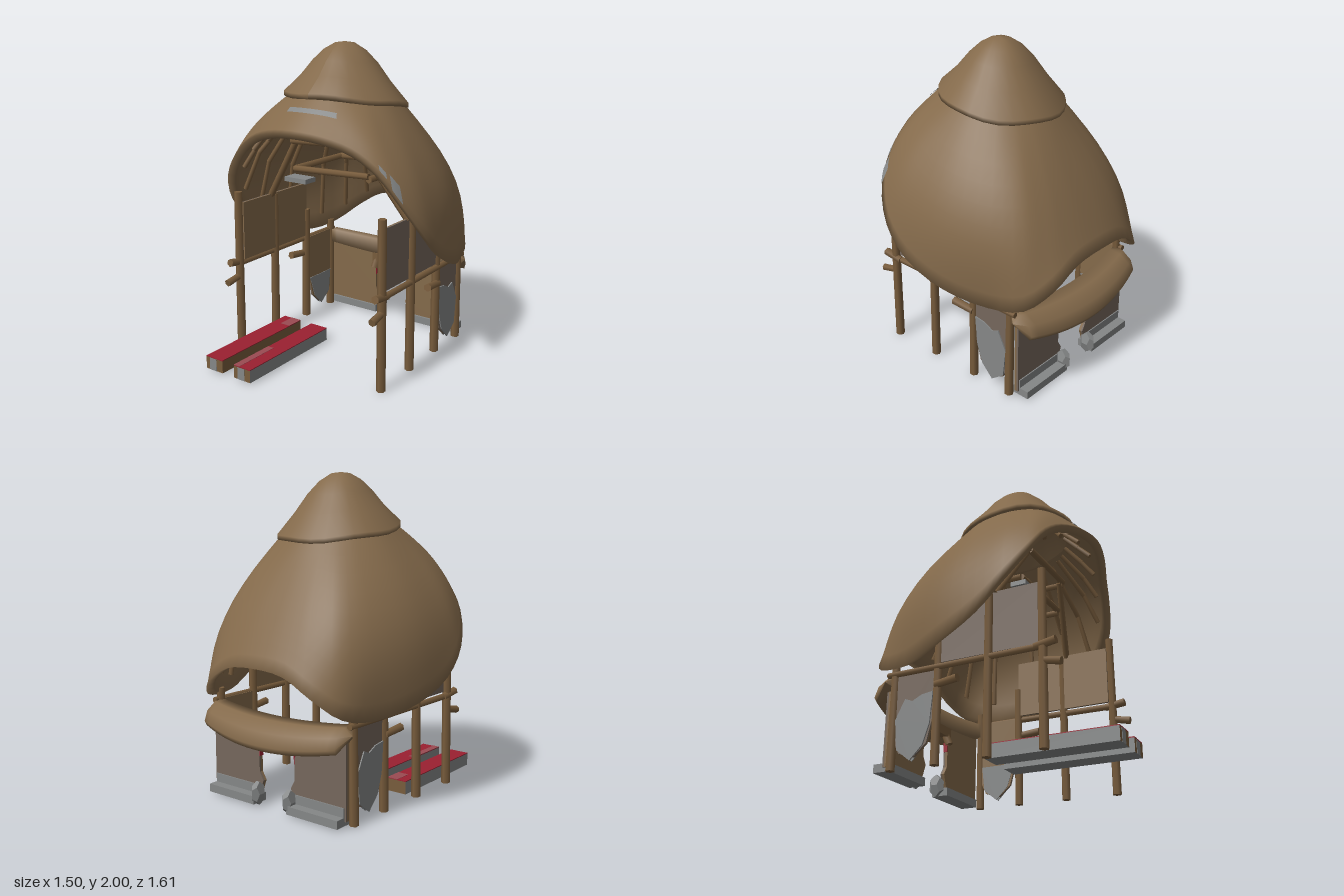
import * as THREE from 'three';

const V = (x, y, z) => new THREE.Vector3(x, y, z);
const mat = (name, color) => {
  const m = new THREE.MeshStandardMaterial({ color, side: THREE.DoubleSide });
  m.name = name;
  return m;
};

// Surface from a rule fn(u, t), u running around (optionally closed), t running down
function grid(fn, nu, nt, closed) {
  const pos = [], idx = [], cols = closed ? nu : nu + 1;
  for (let i = 0; i <= nt; i++)
    for (let j = 0; j < cols; j++) pos.push(...fn(j / nu, i / nt).toArray());
  for (let i = 0; i < nt; i++)
    for (let j = 0; j < nu; j++) {
      const k = (j + 1) % cols, a = i * cols + j, c = i * cols + k;
      idx.push(a, a + cols, c, a + cols, c + cols, c);
    }
  const g = new THREE.BufferGeometry();
  g.setAttribute('position', new THREE.Float32BufferAttribute(pos, 3));
  g.setIndex(idx);
  g.computeVertexNormals();
  return g;
}

// Half of the roof rim from front to back: x, y, z, bulge of the slope above it
const RIM = [
  [0, 1.505, 0.555, 0], [0.2, 1.485, 0.525, 0], [0.38, 1.425, 0.47, 0.02], [0.53, 1.315, 0.43, 0.04],
  [0.65, 1.155, 0.38, 0.055], [0.735, 0.95, 0.255, 0.085], [0.745, 0.78, 0.08, 0.105], [0.7, 0.66, -0.18, 0.13],
  [0.6, 0.6, -0.45, 0.15], [0.53, 0.635, -0.66, 0.12], [0.4, 0.75, -0.77, 0.06], [0.22, 0.855, -0.795, 0.03],
  [0, 0.88, -0.805, 0.02],
];
const stations = [...RIM, ...RIM.slice(1, -1).reverse().map(([x, y, z, b]) => [-x, y, z, b])];
const loop = (pts) => new THREE.CatmullRomCurve3(pts, true);
const rimCurve = loop(stations.map(([x, y, z]) => V(x, y, z)));
const ringCurve = loop(stations.map(([x, , z]) => {
  const a = Math.atan2(x, z + 0.02);
  return V(0.355 * Math.sin(a), 1.645 + 0.055 * Math.cos(a), 0.365 * Math.cos(a) - 0.02);
}));
const bulgeCurve = loop(stations.map((s, i) => V(s[3], i * 1e-4, 0)));

function roofPoint(u, t) {
  const p = ringCurve.getPoint(u % 1).lerp(rimCurve.getPoint(u % 1), t);
  const out = V(p.x, 0, p.z).normalize();
  return p.addScaledVector(out, bulgeCurve.getPoint(u % 1).x * Math.sin(Math.PI * t));
}
const CORE = V(0, 0.95, -0.1);
const innerPoint = (u, t, k = 0.94) => roofPoint(u, t).sub(CORE).multiplyScalar(k).add(CORE);

export function createModel() {
  const root = new THREE.Group();
  root.name = 'thatchedHut';
  const thatch = mat('thatch brown', 0x846a4b);
  const wood = mat('wood brown', 0x785c3c);
  const clay = mat('taupe clay', 0x75675c);
  const stone = mat('stone grey', 0x858787);
  const red = mat('bench red', 0x9a2031);
  const faded = mat('faded red', 0x9a4a52);

  const add = (name, geo, m, x = 0, y = 0, z = 0) => {
    const mesh = new THREE.Mesh(geo, m);
    mesh.name = name;
    mesh.position.set(x, y, z);
    root.add(mesh);
    return mesh;
  };
  const box = (name, m, x0, x1, y0, y1, z0, z1) =>
    add(name, new THREE.BoxGeometry(x1 - x0, y1 - y0, z1 - z0), m, (x0 + x1) / 2, (y0 + y1) / 2, (z0 + z1) / 2);
  // Pole between two points
  const pole = (name, a, b, r, sides = 6) => {
    const d = b.clone().sub(a);
    const mesh = add(name, new THREE.CylinderGeometry(r, r * 1.1, d.length(), sides), wood);
    mesh.position.copy(a).addScaledVector(d, 0.5);
    mesh.quaternion.setFromUnitVectors(V(0, 1, 0), d.normalize());
  };
  const slab = (pts, depth) =>
    new THREE.ExtrudeGeometry(new THREE.Shape(pts.map(([x, y]) => new THREE.Vector2(x, y))), { depth, bevelEnabled: false });

  // Roof shell: outer slope, lip, inner slope
  add('roof', grid((u, t) => (t <= 0.5 ? roofPoint(u, t / 0.5) : innerPoint(u, 1 - (t - 0.55) / 0.45)), 72, 20, true), thatch);

  // Roof cap, tilted down towards the back with an uneven lower edge
  const capProfile = [[0.33, 1.61], [0.385, 1.632], [0.385, 1.66], [0.28, 1.775], [0.2, 1.88], [0.13, 1.95], [0.06, 1.992], [0, 2]];
  const cap = new THREE.LatheGeometry(capProfile.map(([r, y]) => new THREE.Vector2(r, y)), 28);
  const cp = cap.attributes.position;
  for (let i = 0; i < cp.count; i++) {
    const x = cp.getX(i), z = cp.getZ(i), r = Math.hypot(x, z);
    const wave = 0.006 * Math.sin(5 * Math.atan2(x, z));
    cp.setY(i, cp.getY(i) + (0.15 * z + wave) * Math.min(1, r / 0.38));
    cp.setZ(i, z - 0.015 * r / 0.38);
  }
  cap.computeVertexNormals();
  add('roofCap', cap, thatch);

  // Grey weathered patches on the roof
  const patch = (u0, u1, t0, t1) => add('roofPatch', grid((u, t) => {
    const p = roofPoint(u0 + (u1 - u0) * u + 1, t0 + (t1 - t0) * t);
    return p.addScaledVector(V(p.x, 0.4, p.z + 0.02).normalize(), 0.006);
  }, 8, 2, false), stone);
  patch(-0.03, 0.06, 0.32, 0.44);
  patch(0.15, 0.17, 0.8, 0.98);
  patch(0.128, 0.142, 0.84, 0.92);

  // Rafters under the roof
  for (let i = 0; i < 22; i++) {
    const u = (i + 0.5) / 22;
    pole('rafter', innerPoint(u, 0.9, 0.9), innerPoint(u, 0.5, 0.9), 0.015, 5);
    pole('rafter', innerPoint(u, 0.5, 0.9), innerPoint(u, 0.02, 0.9), 0.015, 5);
  }
  // Square frames tying the rafters together
  for (const [y, w, zf, zb] of [[1.2, 0.28, 0.15, -0.35], [1.39, 0.26, 0.2, -0.28]]) {
    for (const z of [zf, zb]) pole('crossBeam', V(-w, y, z), V(w, y + 0.02, z), 0.02);
    for (const s of [-1, 1]) pole('sideBeam', V(s * w, y, zf), V(s * w, y, zb), 0.02);
  }
  box('beamPatch', stone, -0.33, -0.16, 1.12, 1.15, 0.1, 0.2);

  for (const s of [-1, 1]) {
    // Diagonal brace from the post to the upper frame
    pole('brace', V(s * 0.53, 0.98, 0.1), V(s * 0.24, 1.4, 0.18), 0.02);
    // Posts
    for (const [x, z, h] of [[0.55, 0.41, 1.06], [0.54, 0.07, 0.98], [0.53, -0.26, 0.8], [0.53, -0.55, 0.66]])
      pole('post', V(s * x, 0.005, z), V(s * (x - 0.005), h, z - 0.005), 0.026);
    // Rails and short log ends
    pole('sideRail', V(s * 0.545, 0.585, 0.4), V(s * 0.535, 0.585, -0.6), 0.019);
    pole('railEnd', V(s * 0.555, 0.605, 0.49), V(s * 0.55, 0.585, 0.36), 0.024);
    pole('logEnd', V(s * 0.555, 0.475, 0.52), V(s * 0.55, 0.5, 0.4), 0.022);
    pole('logEnd', V(s * 0.55, 0.49, -0.12), V(s * 0.54, 0.475, -0.27), 0.024);
    // Upper side panel, clay outside and thatch inside
    box('sidePanelOuter', clay, s * 0.53 - 0.005, s * 0.53 + 0.005, 0.61, 0.99, -0.26, 0.39);
    box('sidePanelInner', thatch, s * 0.521 - 0.004, s * 0.521 + 0.004, 0.61, 0.99, -0.26, 0.39);
    // Lower side wall with ragged plaster on both faces, shapes drawn in (-z, y)
    const sideSlab = (name, pts, depth, m, x) => {
      add(name, slab(pts, depth), m, s * x - depth / 2).rotation.y = Math.PI / 2;
    };
    const ragged = [[0.28, 0.59], [0.28, 0.3], [0.32, 0.14], [0.4, 0.07], [0.5, 0.1], [0.55, 0.2], [0.55, 0.59]];
    const plaster = [[0.285, 0.44], [0.36, 0.43], [0.42, 0.4], [0.47, 0.42], [0.53, 0.3], [0.51, 0.12], [0.42, 0.05], [0.34, 0.13], [0.3, 0.25]];
    sideSlab('lowerSideWall', ragged, 0.01, clay, 0.528);
    sideSlab('lowerSideWallInner', ragged, 0.008, thatch, 0.519);
    sideSlab('sidePlaster', plaster, 0.008, stone, 0.537);
    sideSlab('sidePlasterInner', plaster.map(([z, y]) => [z, Math.min(y, 0.28)]), 0.004, stone, 0.513);
    // Back wall beside the doorway
    const wall = [[0.15, 0.04], [0.11, 0.15], [0.14, 0.2], [0.14, 0.34], [0.17, 0.38], [0.17, 0.5], [0.52, 0.52], [0.52, 0.04]].map(([x, y]) => [s * x, y]);
    add('backWallInner', slab(wall, 0.015), thatch, 0, 0, -0.6);
    add('backWallOuter', slab(wall, 0.012), clay, 0, 0, -0.612);
    box('doorTrim', red, s * 0.138 - 0.003, s * 0.138 + 0.003, 0.3, 0.36, -0.612, -0.585);
    box('wallFooting', stone, s * 0.32 - 0.19, s * 0.32 + 0.19, 0.015, 0.065, -0.68, -0.57);
    box('footingBand', stone, s * 0.33 - 0.18, s * 0.33 + 0.18, 0.05, 0.12, -0.62, -0.613);
    const doorStone = add('doorStone', new THREE.DodecahedronGeometry(0.055), stone, s * 0.125, 0.08, -0.645);
    doorStone.scale.set(0.65, 1.4, 1);
    pole('bracket', V(s * 0.15, 0.35, -0.58), V(s * 0.14, 0.45, -0.62), 0.025);
  }
  box('doorLintel', wood, -0.17, 0.17, 0.4, 0.46, -0.63, -0.58);

  // Bowed thatch awning below the rear opening, section given in (z, y)
  const section = [[-0.59, 0.565], [-0.68, 0.56], [-0.76, 0.505], [-0.79, 0.43], [-0.77, 0.395], [-0.68, 0.435], [-0.59, 0.455]];
  add('rearAwning', grid((u, t) => {
    const s = 2 * t - 1, [z, y] = section[Math.round(u * 7) % 7];
    const k = t === 0 || t === 1 ? 0 : 1 - 0.2 * s * s;
    return V(0.56 * s, 0.5 + (y - 0.5) * k + 0.04 * s * s, -0.68 + (z + 0.68) * k + 0.075 * s * s);
  }, 7, 24, true), thatch);

  // Long benches with red tops, worn in places
  for (const [x0, x1, side] of [[-0.49, -0.355, wood], [-0.26, -0.13, stone]]) {
    const bench = box('bench', side, x0, x1, 0.015, 0.095, 0.03, 0.8);
    bench.material = [side, stone, red, stone, wood, wood];
    box('benchTop', red, x0, x1, 0.095, 0.1, 0.03, 0.8);
    box('benchFrontFace', stone, x0 + 0.03, x0 + 0.085, 0.015, 0.093, 0.798, 0.802);
  }
  box('benchWear', faded, -0.26, -0.215, 0.098, 0.102, 0.48, 0.8);
  box('benchWear', faded, -0.43, -0.355, 0.098, 0.102, 0.03, 0.15);
  return root;
}
